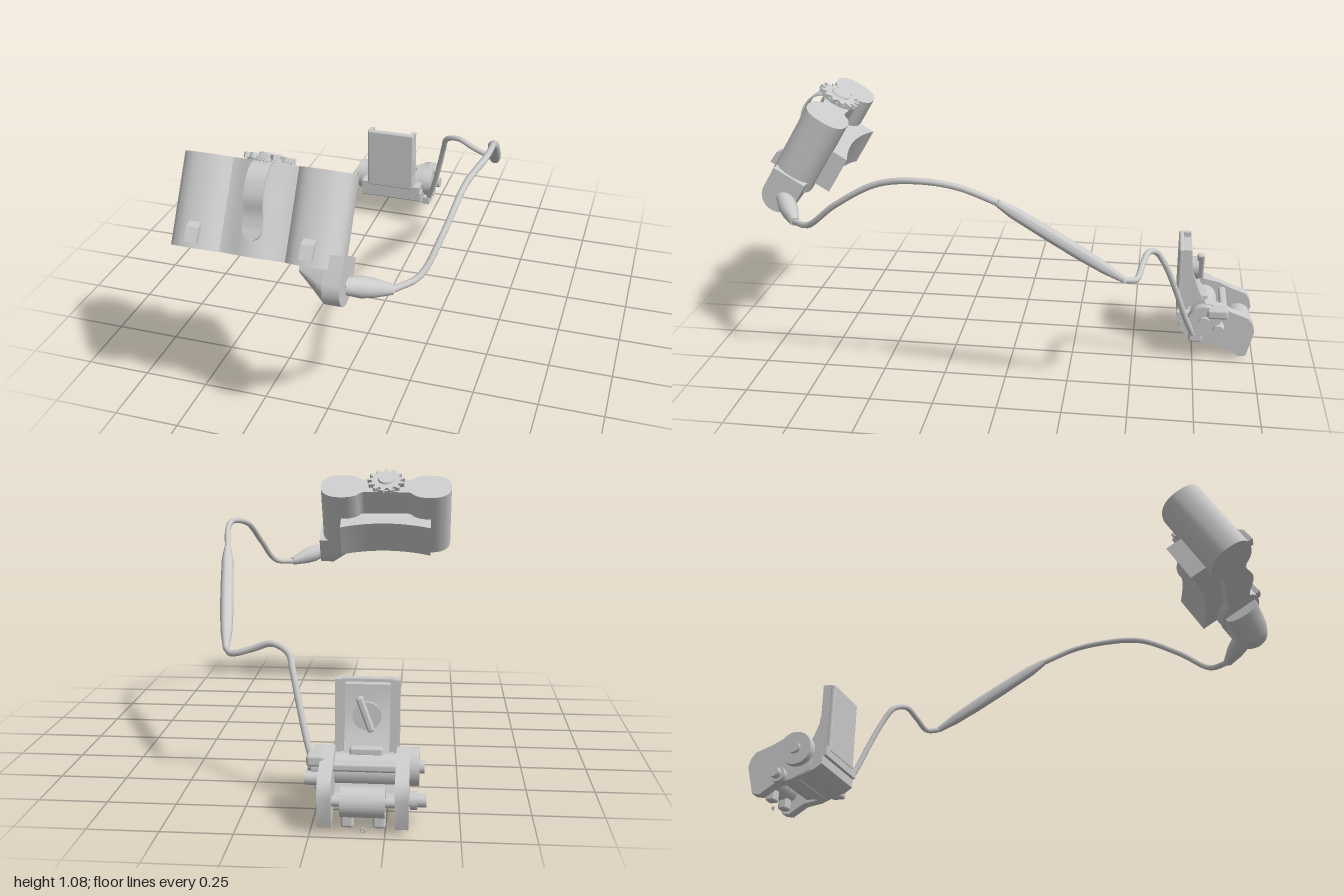
import * as THREE from 'three';
import { toCreasedNormals } from 'three/addons/utils/BufferGeometryUtils.js';
import { RoundedBoxGeometry } from 'three/addons/geometries/RoundedBoxGeometry.js';

const grey = new THREE.MeshStandardMaterial({ color: 0xcccccc, side: THREE.DoubleSide });
const V = (p) => new THREE.Vector3(...p);

function add(parent, name, geometry, pos = [0, 0, 0]) {
  const mesh = new THREE.Mesh(geometry, grey);
  mesh.name = name;
  mesh.position.set(...pos);
  parent.add(mesh);
  return mesh;
}

const shapeOf = (pts) => new THREE.Shape(pts.map(([a, b]) => new THREE.Vector2(a, b)));
const extrude = (shape, depth) =>
  new THREE.ExtrudeGeometry(shape, { depth, bevelEnabled: false, curveSegments: 10 });

// Side profile of [z, y] points, extruded from x0 to x1
function sideExtrude(pts, x0, x1) {
  const g = extrude(shapeOf(pts), x1 - x0).rotateY(-Math.PI / 2).translate(x1, 0, 0);
  return toCreasedNormals(g, 0.6);
}
// Plan of [x, z] points, extruded from y0 to y1
function planExtrude(pts, y0, y1) {
  const g = extrude(shapeOf(pts), y1 - y0).rotateX(Math.PI / 2).translate(0, y1, 0);
  return toCreasedNormals(g, 0.6);
}
// Box given by its lower and upper corners
function box(parent, name, a, b, r = 0) {
  const s = a.map((v, i) => b[i] - v);
  const g = r ? new RoundedBoxGeometry(...s, 2, r) : new THREE.BoxGeometry(...s);
  return add(parent, name, g, a.map((v, i) => (v + b[i]) / 2));
}
// Cylinder lying along x
function axle(parent, name, x0, x1, y, z, r, sides = 24) {
  const g = new THREE.CylinderGeometry(r, r, x1 - x0, sides).rotateZ(Math.PI / 2);
  return add(parent, name, g, [(x0 + x1) / 2, y, z]);
}
// Turned part between two points; profile is [radius, fraction of length]
function spindle(parent, name, a, b, profile) {
  const p = V(a), d = V(b).sub(p), len = d.length();
  const g = new THREE.LatheGeometry(profile.map(([r, t]) => new THREE.Vector2(r, t * len)), 16);
  const mesh = add(parent, name, toCreasedNormals(g, 0.7), a);
  mesh.quaternion.setFromUnitVectors(new THREE.Vector3(0, 1, 0), d.normalize());
}
function cable(parent, name, pts) {
  const curve = new THREE.CatmullRomCurve3(pts.map(V));
  add(parent, name, new THREE.TubeGeometry(curve, 60, 0.012, 10));
}

function batteryPack() {
  const pack = new THREE.Group();
  pack.name = 'batteryPack';
  pack.position.set(-0.175, 0.869, 0.829);
  pack.rotation.x = -0.541;

  // Case: two outer cell lobes joined by a shallower middle
  const lobe = (x) => {
    const u = Math.min(1, Math.abs(Math.abs(x) - 0.205) / 0.1);
    return 0.088 * Math.pow(1 - Math.pow(u, 2.4), 1 / 2.4);
  };
  const front = [], back = [];
  for (let i = 0; i <= 64; i++) {
    const x = -0.305 * Math.cos((Math.PI * i) / 64);
    const inner = Math.abs(x) < 0.2;
    front.push([x, Math.max(lobe(x), inner ? 0.066 + 0.014 * Math.cos(x * 26) : 0)]);
    if (i > 0 && i < 64) back.push([x, -Math.max(lobe(x), inner ? 0.045 : 0)]);
  }
  add(pack, 'case', planExtrude([...front, ...back.reverse()], -0.16, 0.16));

  // Curved pad on the back
  const pad = [[0.21, -0.03], [-0.21, -0.03]];
  for (let i = 0; i <= 16; i++) {
    const x = -0.21 + (0.42 * i) / 16;
    pad.push([x, -0.122 - 0.033 * (x / 0.21) ** 2]);
  }
  add(pack, 'backPad', planExtrude(pad, -0.125, 0.037));

  // Toothed cap on top
  const teeth = [];
  for (let i = 0; i < 52; i++) {
    const a = (i / 52) * Math.PI * 2, r = i % 4 < 2 ? 0.088 : 0.066;
    teeth.push([r * Math.cos(a), 0.022 + r * Math.sin(a)]);
  }
  add(pack, 'capBase', new THREE.CylinderGeometry(0.074, 0.074, 0.012, 32), [0, 0.166, 0.022]);
  add(pack, 'toothedCap', planExtrude(teeth, 0.165, 0.183));
  add(pack, 'capHub', new THREE.CylinderGeometry(0.035, 0.04, 0.01, 24), [0, 0.186, 0.022]);

  // Springy strap looping over the front
  const path = new THREE.SplineCurve([[0.06, 0.163], [0.1, 0.145], [0.125, 0.1], [0.124, 0.035],
    [0.098, -0.02], [0.088, -0.07]].map((p) => new THREE.Vector2(...p))).getPoints(24);
  const inside = path.map((p) => [p.x - 0.007, p.y - 0.004]).reverse();
  add(pack, 'strap', sideExtrude([...path.map((p) => [p.x, p.y]), ...inside], -0.034, 0.034));
  const tip = new THREE.CylinderGeometry(0.034, 0.034, 0.01, 24).rotateX(Math.PI / 2);
  add(pack, 'strapTip', tip, [0, -0.07, 0.084]);

  // Small wedge stops
  for (const s of [-1, 1]) {
    add(pack, 'stop', sideExtrude([[0.07, -0.14], [0.11, -0.14], [0.106, -0.09], [0.088, -0.07], [0.07, -0.07]],
      s * 0.202 - 0.022, s * 0.202 + 0.022));
  }

  // Rounded cable lug that tapers into the case
  const u = [[-0.07, -0.11], [0.072, -0.11]];
  for (let i = 0; i <= 16; i++) {
    const a = (-Math.PI * i) / 16;
    u.push([0.001 + 0.071 * Math.cos(a), -0.205 + 0.071 * Math.sin(a)]);
  }
  add(pack, 'cableLug', sideExtrude(u, 0.26, 0.32));
  const neck = extrude(shapeOf(u), 0.085).rotateY(-Math.PI / 2).translate(0.26, 0, 0);
  const p = neck.attributes.position;
  for (let i = 0; i < p.count; i++) {
    if (p.getX(i) < 0.2 && p.getY(i) < -0.15) p.setY(i, -0.15 + (p.getY(i) + 0.15) * 0.35);
  }
  add(pack, 'lugNeck', toCreasedNormals(neck, 0.6));
  return pack;
}

function hingeMount() {
  const mount = new THREE.Group();
  mount.name = 'hingeMount';
  const cx = -0.177;

  // Upright plate with rounded corners and its stepped foot
  box(mount, 'uprightPlate', [-0.29, 0.18, -0.695], [-0.065, 0.467, -0.674], 0.009);
  for (const s of [-1, 1]) {
    const x = cx + s * 0.102;
    box(mount, 'plateRail', [x - 0.01, 0.2, -0.725], [x + 0.01, 0.465, -0.69]);
  }
  box(mount, 'plateFoot', [-0.32, 0.155, -0.735], [-0.035, 0.197, -0.676]);
  add(mount, 'footBlock', sideExtrude([[-0.69, 0.16], [-0.69, 0.12], [-0.72, 0.1], [-0.82, 0.065],
    [-0.85, 0.1], [-0.8, 0.2], [-0.73, 0.17]], -0.325, -0.03));

  // Carriage behind the plate with its turning lever
  add(mount, 'carriage', sideExtrude([[-0.69, 0.45], [-0.728, 0.45], [-0.735, 0.35], [-0.765, 0.27],
    [-0.8, 0.2], [-0.78, 0.13], [-0.72, 0.13], [-0.69, 0.2]], -0.255, -0.1));
  const dial = new THREE.CylinderGeometry(0.045, 0.05, 0.035, 24).rotateX(Math.PI / 2);
  add(mount, 'leverDial', dial, [cx, 0.345, -0.742]);
  const lever = add(mount, 'lever', new RoundedBoxGeometry(0.024, 0.13, 0.03, 2, 0.008), [cx + 0.005, 0.355, -0.768]);
  lever.rotation.z = -0.35;

  // Paired side arms
  const arm = [[-0.735, 0.1], [-0.73, 0.17], [-0.75, 0.22], [-0.79, 0.25], [-0.86, 0.235], [-0.9, 0.215],
    [-0.97, 0.19], [-0.99, 0.165], [-0.998, 0.13], [-0.97, 0.022], [-0.94, 0.016], [-0.88, 0.055], [-0.82, 0.065]];
  for (const s of [-1, 1]) {
    const x = cx + s * 0.128;
    add(mount, 'sideArm', sideExtrude(arm, x - 0.023, x + 0.023));
    axle(mount, 'hingeBoss', x + s * 0.035 - 0.02, x + s * 0.035 + 0.02, 0.18, -0.79, 0.066);
    axle(mount, 'hingeScrew', x + s * 0.06 - 0.012, x + s * 0.06 + 0.012, 0.18, -0.79, 0.024, 12);
    box(mount, 'rollerHook', [cx + s * 0.053 - 0.022, 0.016, -0.955], [cx + s * 0.053 + 0.022, 0.07, -0.915], 0.01);
  }

  // Roller and cross bars between the arms
  axle(mount, 'hingeDrum', -0.3, -0.05, 0.165, -0.79, 0.058);
  axle(mount, 'roller', -0.25, -0.1, 0.105, -0.942, 0.052);
  axle(mount, 'rollerPin', -0.3, -0.05, 0.105, -0.942, 0.018, 12);
  box(mount, 'crossBar', [-0.3, 0.185, -0.885], [-0.05, 0.215, -0.855], 0.01);
  box(mount, 'lowerBridge', [-0.3, 0.07, -0.87], [-0.05, 0.1, -0.79], 0.008);
  box(mount, 'latch', [-0.235, 0.215, -0.805], [-0.12, 0.245, -0.765], 0.008);

  // Side knobs, clamp bolt and cable socket
  axle(mount, 'clampBolt', -0.386, -0.3, 0.084, -0.86, 0.022, 10);
  axle(mount, 'boltCollar', -0.355, -0.33, 0.084, -0.86, 0.032, 12);
  box(mount, 'sideTab', [-0.04, 0.2, -0.885], [0.02, 0.24, -0.8], 0.01);
  axle(mount, 'sideKnob', -0.03, 0.028, 0.15, -0.85, 0.024, 12);
  box(mount, 'cableSocket', [-0.035, 0.085, -0.785], [0.005, 0.125, -0.73], 0.008);
  add(mount, 'retainingRing', new THREE.TorusGeometry(0.007, 0.003, 6, 12), [cx, 0.01, -0.955]);
  return mount;
}

export function createModel() {
  const model = new THREE.Group();
  model.add(batteryPack(), hingeMount());

  // Cable run with strain relief and thick inline sleeve
  const relief = [0.13, 0.683, 0.92], reliefEnd = [0.275, 0.637, 0.83];
  const sleeveTop = [0.437, 0.815, 0.0], sleeveEnd = [0.363, 0.505, -0.467];
  spindle(model, 'strainRelief', relief, reliefEnd,
    [[0, 0], [0.03, 0], [0.038, 0.35], [0.034, 0.6], [0.018, 1], [0, 1]]);
  spindle(model, 'inlineSleeve', sleeveTop, sleeveEnd,
    [[0, 0], [0.014, 0], [0.023, 0.12], [0.026, 0.4], [0.026, 0.65], [0.022, 0.85], [0.012, 1], [0, 1]]);
  cable(model, 'packCable', [reliefEnd, [0.346, 0.655, 0.75], [0.394, 0.76, 0.624], [0.426, 0.862, 0.45],
    [0.463, 0.893, 0.28], [0.46, 0.875, 0.14], sleeveTop]);
  cable(model, 'mountCable', [sleeveEnd, [0.335, 0.497, -0.51], [0.25, 0.522, -0.53], [0.18, 0.546, -0.55],
    [0.115, 0.52, -0.585], [0.095, 0.46, -0.62], [0.07, 0.36, -0.66], [0.03, 0.21, -0.71], [-0.01, 0.105, -0.75]]);
  return model;
}
